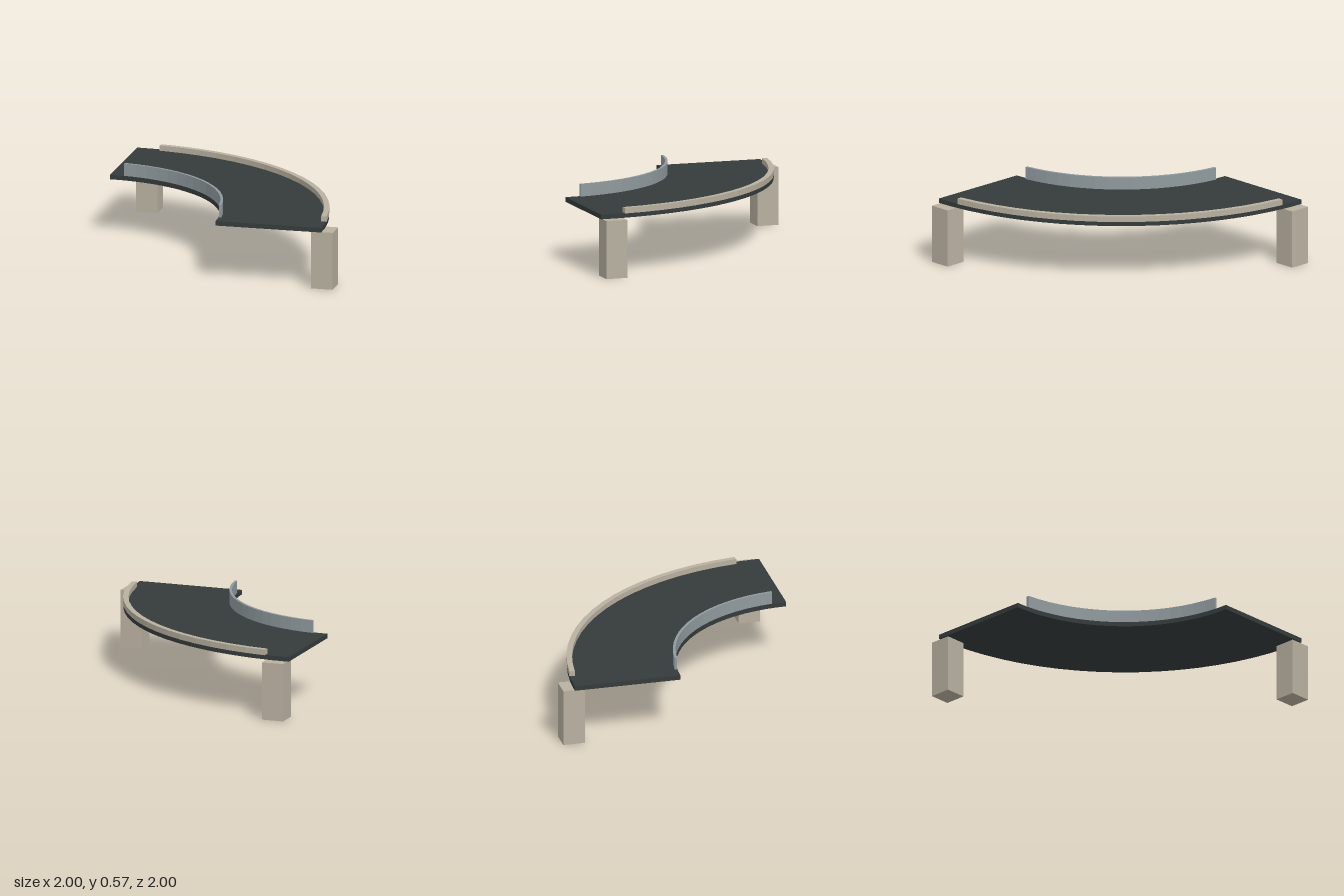
import * as THREE from 'three';

const concrete = new THREE.MeshStandardMaterial({ name: 'concrete', color: 0xb8b0a0 });
const asphalt = new THREE.MeshStandardMaterial({ name: 'asphalt', color: 0x353b3b });
const steel = new THREE.MeshStandardMaterial({ name: 'steel', color: 0x909a9e });

// Faceted ring sector around the corner (-1, 1), standing from y0 to y1
function arcSlab(name, material, rIn, rOut, margin, y0, y1, segments) {
  const points = [];
  const addArc = (r, from, to) => {
    for (let i = 0; i <= segments; i++) {
      const a = from + ((to - from) * i) / segments;
      points.push(new THREE.Vector2(-1 + r * Math.cos(a), -1 + r * Math.sin(a)));
    }
  };
  const start = margin, end = Math.PI / 2 - margin;
  addArc(rOut, start, end);
  addArc(rIn, end, start);
  const geometry = new THREE.ExtrudeGeometry(new THREE.Shape(points), {
    depth: y1 - y0, bevelEnabled: false,
  });
  geometry.rotateX(-Math.PI / 2).translate(0, y0, 0);
  const mesh = new THREE.Mesh(geometry, material);
  mesh.name = name;
  return mesh;
}

// Square support pillar reaching up to the underside of the deck
function pillar(name, x, z) {
  const mesh = new THREE.Mesh(new THREE.BoxGeometry(0.167, 0.44, 0.167), concrete);
  mesh.name = name;
  mesh.position.set(x, 0.22, z);
  return mesh;
}

export function createModel() {
  const group = new THREE.Group();
  group.name = 'curvedRoadSection';

  // Quarter-turn road deck
  group.add(arcSlab('roadDeck', asphalt, 1.1, 1.915, 0, 0.44, 0.475, 20));

  // Low outer curb and taller inner barrier, both stopping short of the ends
  group.add(arcSlab('outerCurb', concrete, 1.876, 1.917, 0.1, 0.472, 0.515, 16));
  group.add(arcSlab('innerBarrier', steel, 1.102, 1.122, 0.1, 0.472, 0.57, 16));

  // Pillars at the outer corners
  group.add(pillar('backPillar', -0.905, -0.917));
  group.add(pillar('leftPillar', 0.917, 0.905));
  return group;
}
